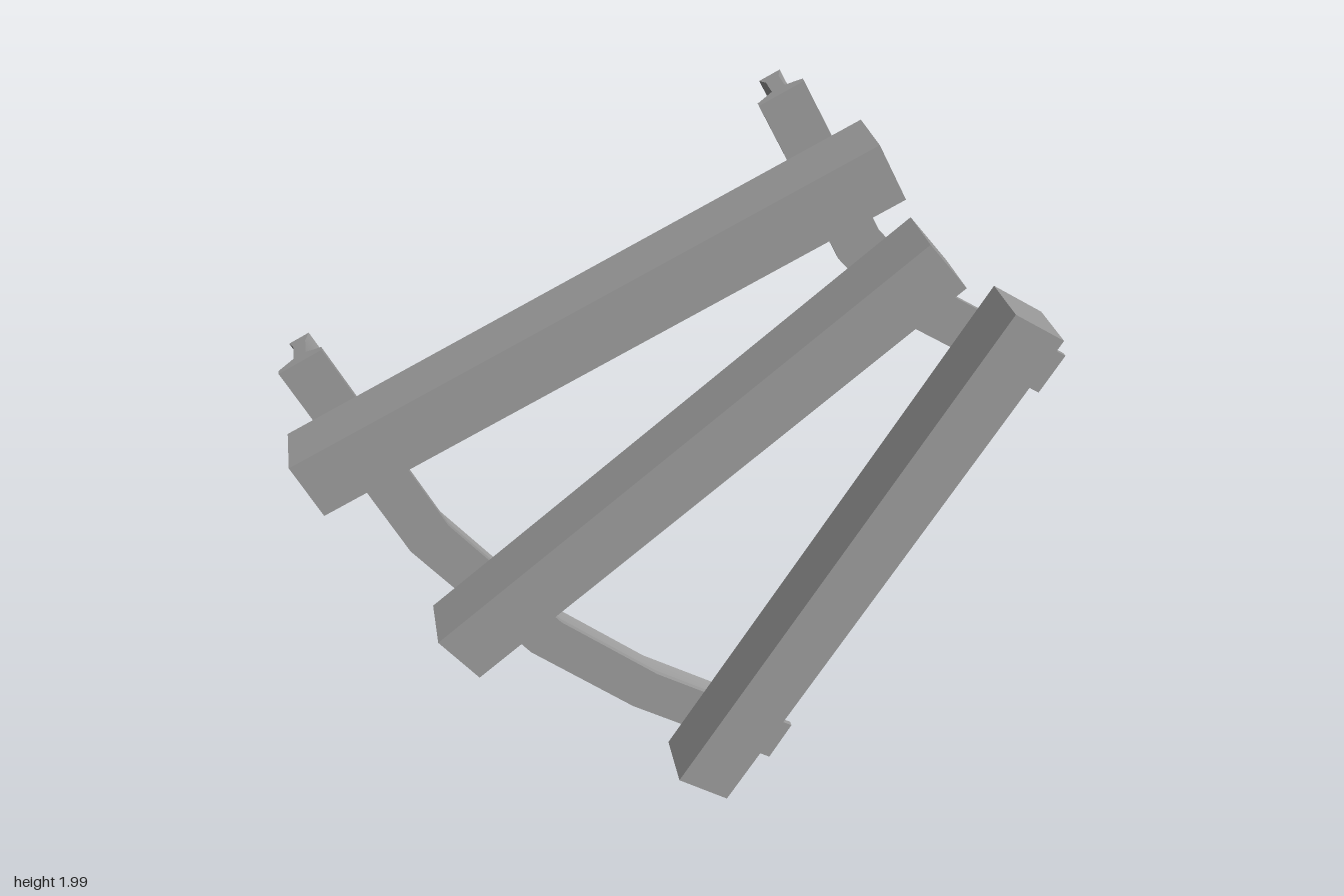
import * as THREE from 'three';
import { toCreasedNormals } from 'three/addons/utils/BufferGeometryUtils.js';

const material = new THREE.MeshStandardMaterial({ color: 0x9b9b9b });

// Rail cross-section: [across, z], wide foot at the front and narrow flared head at the back
const half = [[0.028, -0.15], [0.017, -0.12], [0.017, -0.056], [0.06, -0.036], [0.06, -0.02]];
const profile = [...half, ...half.map(([u, z]) => [-u, z]).reverse()].map(p => new THREE.Vector2(...p));

// Sweep the section along a flat polyline with mitred corners
function railGeometry(points) {
  const path = points.map(p => new THREE.Vector2(...p));
  const last = path.length - 1;
  const rings = path.map((p, i) => {
    const a = path[Math.min(i + 1, last)].clone().sub(path[Math.min(i, last - 1)]).normalize();
    const b = path[Math.max(i, 1)].clone().sub(path[Math.max(i - 1, 0)]).normalize();
    const t = a.clone().add(b).normalize();
    const stretch = 1 / t.dot(a);
    return profile.map(q => [p.x - t.y * q.x * stretch, p.y + t.x * q.x * stretch, q.y]);
  });
  const pos = [];
  const tri = (...corners) => corners.forEach(c => pos.push(...c));
  const n = profile.length;
  for (let i = 0; i < last; i++) {
    for (let j = 0; j < n; j++) {
      const k = (j + 1) % n;
      const a = rings[i][j], b = rings[i][k], c = rings[i + 1][k], d = rings[i + 1][j];
      tri(a, b, c);
      tri(a, c, d);
    }
  }
  // End caps
  for (const [a, b, c] of THREE.ShapeUtils.triangulateShape(profile, [])) {
    tri(rings[0][a], rings[0][c], rings[0][b]);
    tri(rings[last][a], rings[last][b], rings[last][c]);
  }
  const geometry = new THREE.BufferGeometry();
  geometry.setAttribute('position', new THREE.Float32BufferAttribute(pos, 3));
  // Smooth along the bends and under the head, sharp elsewhere
  return toCreasedNormals(geometry, Math.PI / 5);
}

export function createModel() {
  const model = new THREE.Group();
  model.name = 'curvedTrack';

  // Rails
  const rails = {
    outerRail: [[-0.945, 1.373], [-0.67, 0.84], [-0.382, 0.495], [-0.118, 0.285], [0.267, 0.054]],
    innerRail: [[0.225, 1.968], [0.43, 1.565], [0.575, 1.4], [0.967, 1.155]],
  };
  for (const [name, points] of Object.entries(rails)) {
    const rail = new THREE.Mesh(railGeometry(points), material);
    rail.name = name;
    model.add(rail);
  }

  // Sleepers, each given by its two end centres
  const sleepers = {
    upperSleeper: [-0.958, 1.11, 0.455, 1.82],
    middleSleeper: [-0.625, 0.573, 0.607, 1.568],
    lowerSleeper: [0.012, 0.055, 0.854, 1.382],
  };
  for (const [name, [x0, y0, x1, y1]] of Object.entries(sleepers)) {
    const length = Math.hypot(x1 - x0, y1 - y0);
    const sleeper = new THREE.Mesh(new THREE.BoxGeometry(length, 0.157, 0.17), material);
    sleeper.position.set((x0 + x1) / 2, (y0 + y1) / 2, 0.065);
    sleeper.rotation.z = Math.atan2(y1 - y0, x1 - x0);
    sleeper.name = name;
    model.add(sleeper);
  }
  return model;
}
